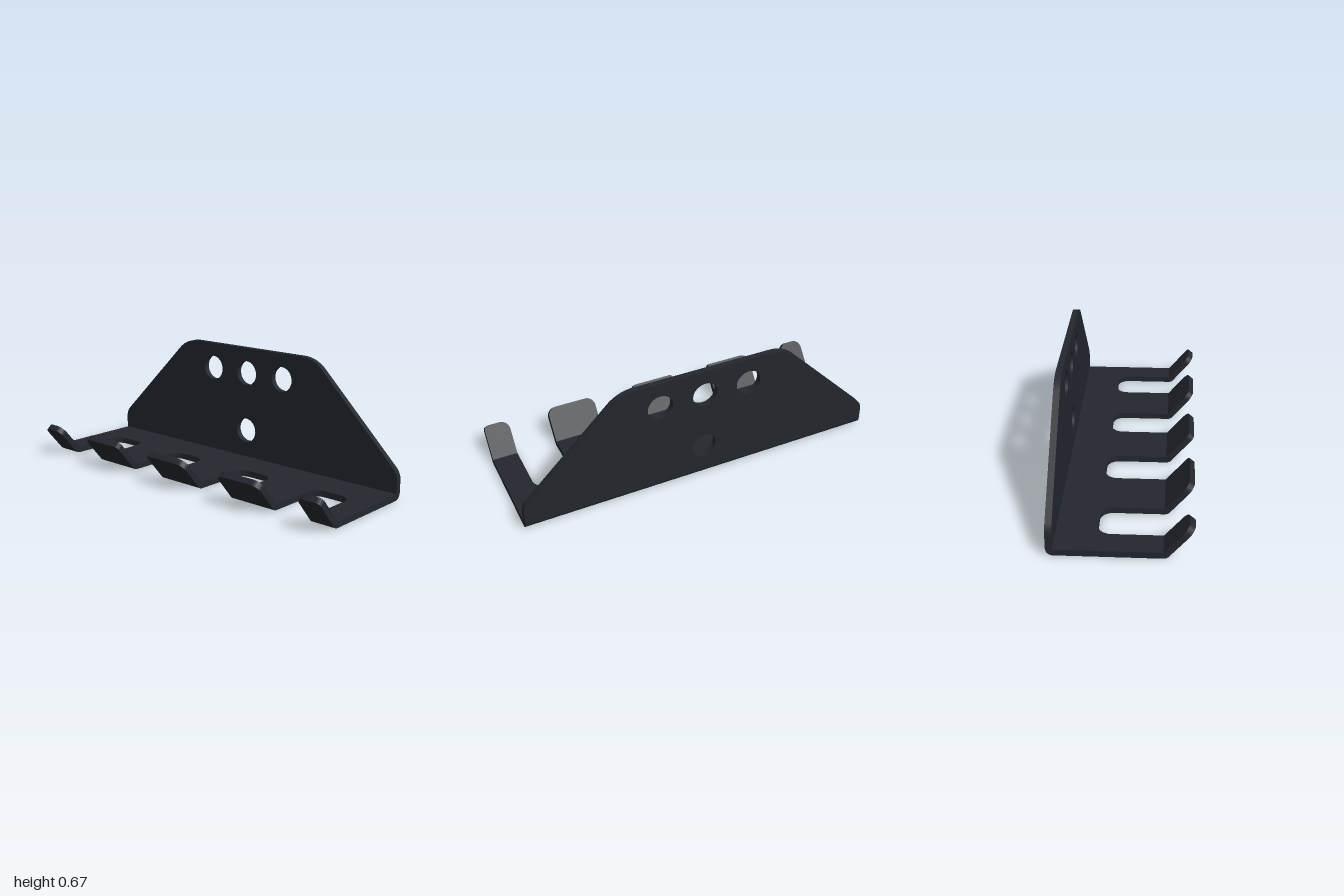
import * as THREE from 'three';
import { toCreasedNormals } from 'three/addons/utils/BufferGeometryUtils.js';

const T = 0.033;                 // sheet thickness
const R_IN = 0.0035;             // inside bend radius
const R_OUT = R_IN + T;
const X_BACK = 0.3125;           // centre of the back bend
const X_LIP = -0.202;            // centre of the prong bends
const LIP_ANGLE = THREE.MathUtils.degToRad(50);
const LIP_LENGTH = 0.188;
const SLOT_HALF = 0.113;
const SLOT_CENTRES = [-0.75, -0.25, 0.25, 0.75];

// Closed outline from corners [x, y, radius], each rounded by a tangent arc
function roundedShape(corners) {
  const shape = new THREE.Shape();
  const n = corners.length;
  corners.forEach(([x, y, r = 0], i) => {
    const p = new THREE.Vector2(x, y);
    const toward = (c) => new THREE.Vector2(c[0], c[1]).sub(p).normalize();
    const a = toward(corners[(i + n - 1) % n]);
    const b = toward(corners[(i + 1) % n]);
    const turn = Math.PI - Math.acos(THREE.MathUtils.clamp(a.dot(b), -1, 1));
    const len = r * Math.tan(turn / 2);
    const k = len - (4 / 3) * Math.tan(turn / 4) * r;
    const at = (dir, d) => p.clone().addScaledVector(dir, d);
    const start = at(a, len);
    if (i === 0) shape.moveTo(start.x, start.y);
    else shape.lineTo(start.x, start.y);
    if (r > 0) {
      const c1 = at(a, k), c2 = at(b, k), end = at(b, len);
      shape.bezierCurveTo(c1.x, c1.y, c2.x, c2.y, end.x, end.y);
    }
  });
  shape.closePath();
  return shape;
}

function extrude(shape, depth) {
  return new THREE.ExtrudeGeometry(shape, { depth, bevelEnabled: false, curveSegments: 16 });
}

// Flat sheet drawn in x/z, with its underside at y = bottom
function flatSheet(shape, bottom) {
  return extrude(shape, T).rotateX(Math.PI / 2).translate(0, bottom + T, 0);
}

// Curved strip of sheet running along z from z0 to z1
function bend(cx, from, to, z0, z1) {
  const s = new THREE.Shape();
  s.absarc(0, 0, R_OUT, from, to, false);
  s.absarc(0, 0, R_IN, to, from, true);
  s.closePath();
  return extrude(s, z1 - z0).translate(cx, R_OUT, z0);
}

export function createModel() {
  const model = new THREE.Group();
  model.name = 'prongedWallBracket';
  const material = new THREE.MeshStandardMaterial({ color: 0x23272e });

  const add = (name, geometry, parent = model) => {
    const mesh = new THREE.Mesh(toCreasedNormals(geometry, 0.6), material);
    mesh.name = name;
    parent.add(mesh);
    return mesh;
  };

  // Back plate with sloping shoulders and four screw holes
  const plate = roundedShape([
    [-1, R_OUT], [1, R_OUT], [1, 0.14, 0.09], [0.462, 0.667, 0.2],
    [-0.462, 0.667, 0.2], [-1, 0.14, 0.09],
  ]);
  for (const [z, y] of [[-0.25, 0.523], [0, 0.523], [0.25, 0.523], [0, 0.19]]) {
    const hole = new THREE.Path();
    hole.absarc(z, y, 0.069, 0, Math.PI * 2, true);
    plate.holes.push(hole);
  }
  add('backPlate', extrude(plate, T).rotateY(Math.PI / 2).translate(X_BACK + R_IN, 0, 0));

  // Long bend joining back plate and shelf
  add('backBend', bend(X_BACK, -Math.PI / 2, 0, -1, 1));

  // Comb-shaped shelf: slots open toward the prongs
  const outline = [[X_BACK, 1], [X_BACK, -1], [X_LIP, -1]];
  for (const c of SLOT_CENTRES) {
    outline.push(
      [X_LIP, c - SLOT_HALF], [0.115, c - SLOT_HALF, 0.065],
      [0.115, c + SLOT_HALF, 0.065], [X_LIP, c + SLOT_HALF],
    );
  }
  outline.push([X_LIP, 1]);
  add('slottedShelf', flatSheet(roundedShape(outline), 0));

  // Upturned prongs: [z start, z end, start corner radius, end corner radius]
  const prongs = [
    [-1, -0.863, 0.05, 0.05],
    [-0.637, -0.363, 0.05, 0.025],
    [-0.137, 0.137, 0.025, 0.05],
    [0.363, 0.637, 0.05, 0.05],
    [0.863, 1, 0.05, 0.025],
  ];
  for (const [z0, z1, r0, r1] of prongs) {
    const prong = new THREE.Group();
    prong.name = 'prong';
    model.add(prong);
    add('prongBend', bend(X_LIP, -Math.PI / 2 - LIP_ANGLE, -Math.PI / 2, z0, z1), prong);
    const tip = roundedShape([[0, z0], [0, z1], [-LIP_LENGTH, z1, r1], [-LIP_LENGTH, z0, r0]]);
    const mesh = add('prongTip', flatSheet(tip, -R_OUT), prong);
    mesh.position.set(X_LIP, R_OUT, 0);
    mesh.rotation.z = -LIP_ANGLE;
  }

  return model;
}
